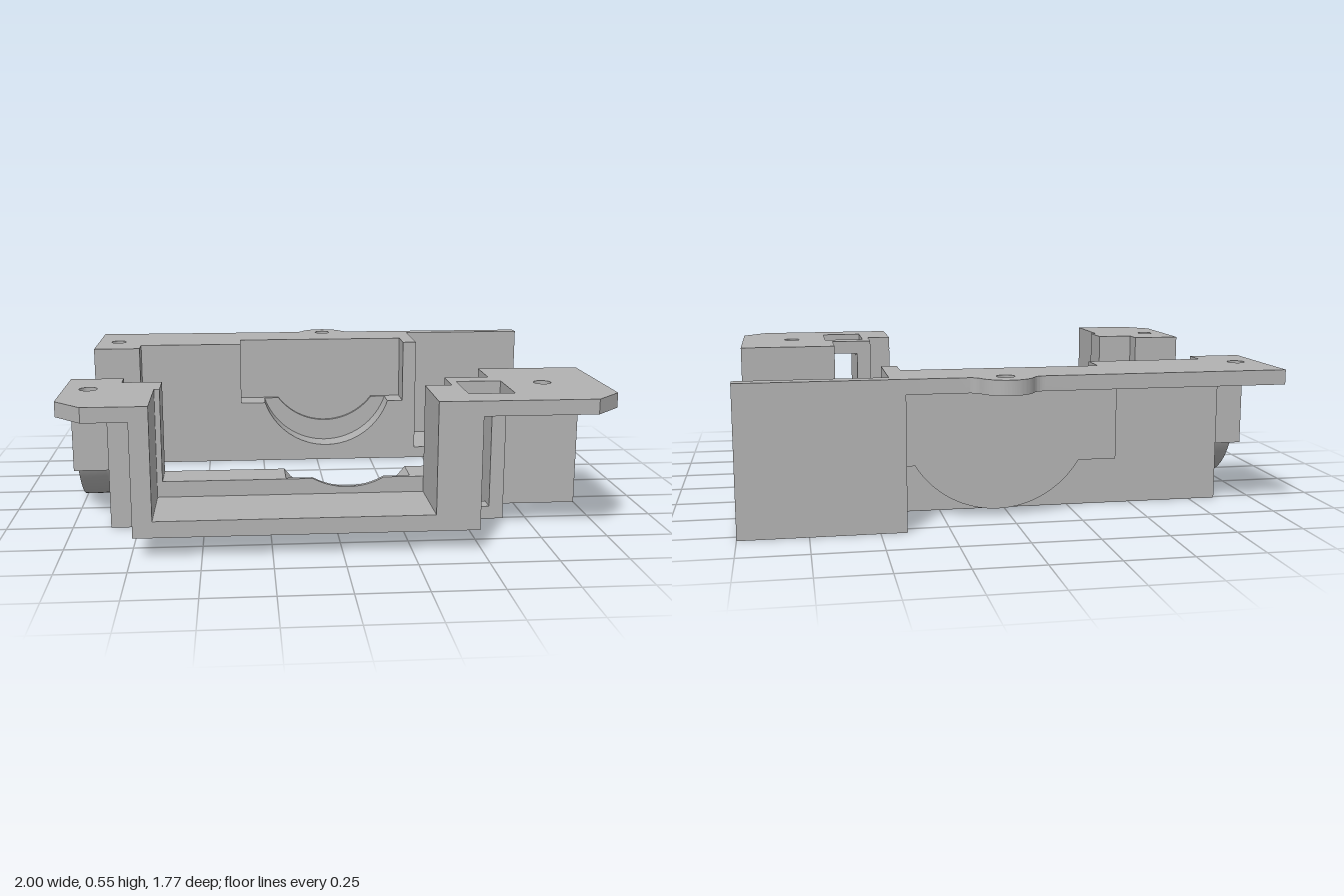
import * as THREE from 'three';
import { toCreasedNormals } from 'three/addons/utils/BufferGeometryUtils.js';

const grey = new THREE.MeshStandardMaterial({ color: 0xb2b2b2 });
grey.name = 'plain grey';

export function createModel() {
  const model = new THREE.Group();
  model.name = 'bearingFrame';

  const add = (name, geometry) => {
    const mesh = new THREE.Mesh(geometry, grey);
    mesh.name = name;
    model.add(mesh);
  };

  // Box given by its limits on each axis
  const box = (name, x0, x1, y0, y1, z0, z1) => {
    const g = new THREE.BoxGeometry(x1 - x0, y1 - y0, z1 - z0);
    g.translate((x0 + x1) / 2, (y0 + y1) / 2, (z0 + z1) / 2);
    add(name, g);
  };

  // Points on a hanging arc, from left to right
  const arc = ([c, half, top, bottom], n = 32) => {
    const d = top - bottom, r = (half * half + d * d) / (2 * d);
    const a = Math.atan2(half, r - d), pts = [];
    for (let i = 0; i <= n; i++) {
      const t = -a + (2 * a * i) / n;
      pts.push([c + r * Math.sin(t), bottom + r - r * Math.cos(t)]);
    }
    return pts;
  };

  // Upright slab with an optional round belly below and round groove above
  const cradle = (name, axis, d0, d1, u0, u1, base, top, groove, belly) => {
    const pts = [[u0, top], [u0, base]];
    if (belly) pts.push(...arc(belly));
    pts.push([u1, base], [u1, top]);
    if (groove) pts.push(...arc(groove).reverse());
    const shape = new THREE.Shape(pts.map(p => new THREE.Vector2(...p)));
    const g = new THREE.ExtrudeGeometry(shape, { depth: d1 - d0, bevelEnabled: false });
    if (axis === 'x') g.rotateY(-Math.PI / 2).translate(d1, 0, 0);
    else g.translate(0, 0, d0);
    add(name, toCreasedNormals(g, 0.5));
  };

  // Flat top plate, drawn in x and z
  const plate = (name, shape, holes) => {
    for (const [x, z] of holes) {
      shape.holes.push(new THREE.Path().absarc(x, z, 0.033, 0, Math.PI * 2, true));
    }
    const g = new THREE.ExtrudeGeometry(shape, { depth: 0.055, bevelEnabled: false, curveSegments: 24 });
    g.rotateX(Math.PI / 2).translate(0, 0.55, 0);
    add(name, toCreasedNormals(g, 0.5));
  };
  const outline = pts => new THREE.Shape(pts.map(p => new THREE.Vector2(...p)));

  // Back plate with a screw ear
  const back = new THREE.Shape();
  back.moveTo(-1, -0.8);
  back.lineTo(-0.09, -0.8);
  back.quadraticCurveTo(-0.06, -0.8, -0.046, -0.825);
  back.absarc(0.05, -0.78, 0.106, Math.PI + 0.438, Math.PI * 2 - 0.438, false);
  back.quadraticCurveTo(0.16, -0.8, 0.19, -0.8);
  [[0.46, -0.8], [0.46, -0.44], [0.4, -0.44], [0.4, -0.565], [-0.35, -0.565], [-0.35, -0.44],
    [-0.8, -0.44], [-0.8, -0.35], [-1, -0.35]].forEach(p => back.lineTo(...p));
  plate('backPlate', back, [[0.05, -0.785], [-0.91, -0.55]]);

  // Front corner plates
  plate('frontRightPlate', outline([[-1, 0.36], [-0.8, 0.36], [-0.8, 0.44], [-0.65, 0.44], [-0.65, 0.585],
    [-0.67, 0.585], [-0.67, 0.88], [-0.9, 0.88], [-1, 0.775]]), [[-0.91, 0.56]]);
  const left = outline([[0.6, 0.26], [1, 0.26], [1, 0.775], [0.9, 0.88], [0.33, 0.88], [0.33, 0.585],
    [0.43, 0.585], [0.43, 0.44], [0.6, 0.44]]);
  left.holes.push(new THREE.Path([[0.46, 0.52], [0.46, 0.75], [0.63, 0.75], [0.63, 0.52]]
    .map(p => new THREE.Vector2(...p))));
  plate('frontLeftPlate', left, [[0.78, 0.56]]);

  // Back wall and its bearing pocket
  const backGroove = [0.045, 0.285, 0.275, 0.07];
  const backBelly = [0.045, 0.31, 0.2, 0.025];
  cradle('backWall', 'z', -0.51, -0.44, -0.855, 0.46, 0, 0.275, backGroove);
  cradle('backCradle', 'z', -0.55, -0.51, -0.41, 0.46, 0.2, 0.275, backGroove, backBelly);
  cradle('backCradleLip', 'z', -0.565, -0.55, -0.41, 0.46, 0.2, 0.275, [0.045, 0.22, 0.275, 0.165], backBelly);
  cradle('backPocketWall', 'z', -0.62, -0.565, -0.41, 0.46, 0.2, 0.55, null, backBelly);
  box('backWallUpper', -0.855, -0.35, 0.275, 0.55, -0.51, -0.44);
  box('backPocketSide', -0.41, -0.35, 0.2, 0.55, -0.62, -0.51);
  box('backPocketSide', 0.4, 0.46, 0.2, 0.55, -0.62, -0.44);

  // Side wall and its bearing cradle
  const sideGroove = [-0.02, 0.28, 0.26, 0.05];
  const sideBelly = [-0.01, 0.31, 0.2, 0];
  cradle('sideWall', 'x', -0.855, -0.8, -0.51, 0.51, 0, 0.26, sideGroove);
  cradle('sideCradle', 'x', -0.89, -0.855, -0.41, 0.41, 0.2, 0.26, sideGroove, sideBelly);
  cradle('sideCradleLip', 'x', -1, -0.89, -0.41, 0.41, 0.2, 0.26, [-0.02, 0.22, 0.26, 0.11], sideBelly);
  box('sideWallUpper', -0.855, -0.8, 0.26, 0.55, -0.51, -0.35);
  box('sideWallUpper', -0.855, -0.8, 0.26, 0.55, 0.36, 0.51);
  box('sideCradlePost', -1, -0.855, 0.2, 0.55, -0.41, -0.35);
  box('sideCradlePost', -1, -0.855, 0.2, 0.55, 0.36, 0.41);

  // Front wall and its bearing cradle
  const frontGroove = [0.045, 0.235, 0.2, 0.08];
  const frontBelly = [0.045, 0.19, 0.08, 0.025];
  cradle('frontWall', 'z', 0.44, 0.51, -0.855, 0.49, 0, 0.2, frontGroove);
  cradle('frontCradle', 'z', 0.51, 0.57, -0.74, 0.49, 0.08, 0.2, frontGroove, frontBelly);
  cradle('frontCradleLip', 'z', 0.57, 0.587, -0.74, 0.49, 0.08, 0.2, [0.045, 0.134, 0.2, 0.165], frontBelly);
  box('frontWallUpper', -0.855, -0.65, 0.2, 0.55, 0.44, 0.51);
  box('frontWallUpper', 0.43, 0.49, 0.2, 0.55, 0.44, 0.51);

  // Open front trough with its end walls
  box('troughFloor', -0.74, 0.49, 0.08, 0.14, 0.587, 0.88);
  box('troughEnd', -0.74, -0.67, 0.08, 0.55, 0.51, 0.88);
  box('troughEndStep', -0.67, -0.65, 0.14, 0.55, 0.51, 0.587);
  box('troughEnd', 0.33, 0.46, 0.08, 0.55, 0.587, 0.88);
  box('troughEndStep', 0.43, 0.46, 0.14, 0.55, 0.51, 0.587);
  box('troughEndSkin', 0.46, 0.49, 0.08, 0.475, 0.51, 0.88);
  box('troughEndTop', 0.46, 0.49, 0.475, 0.5, 0.75, 0.88);

  // Side compartment
  box('compartmentFloor', 0.6, 1, 0, 0.05, -0.8, 0.32);
  box('compartmentFloorBack', 0.41, 0.6, 0, 0.05, -0.8, -0.44);
  box('compartmentBack', 0.41, 1, 0, 0.55, -0.8, -0.742);
  box('compartmentInnerWall', 0.405, 0.46, 0, 0.55, -0.8, -0.44);
  box('compartmentFront', 0.6, 1, 0, 0.55, 0.26, 0.32);
  box('doorPost', 0.605, 0.66, 0, 0.5, 0.26, 0.51);
  box('doorSill', 0.45, 0.61, 0, 0.05, 0.44, 0.51);

  return model;
}
